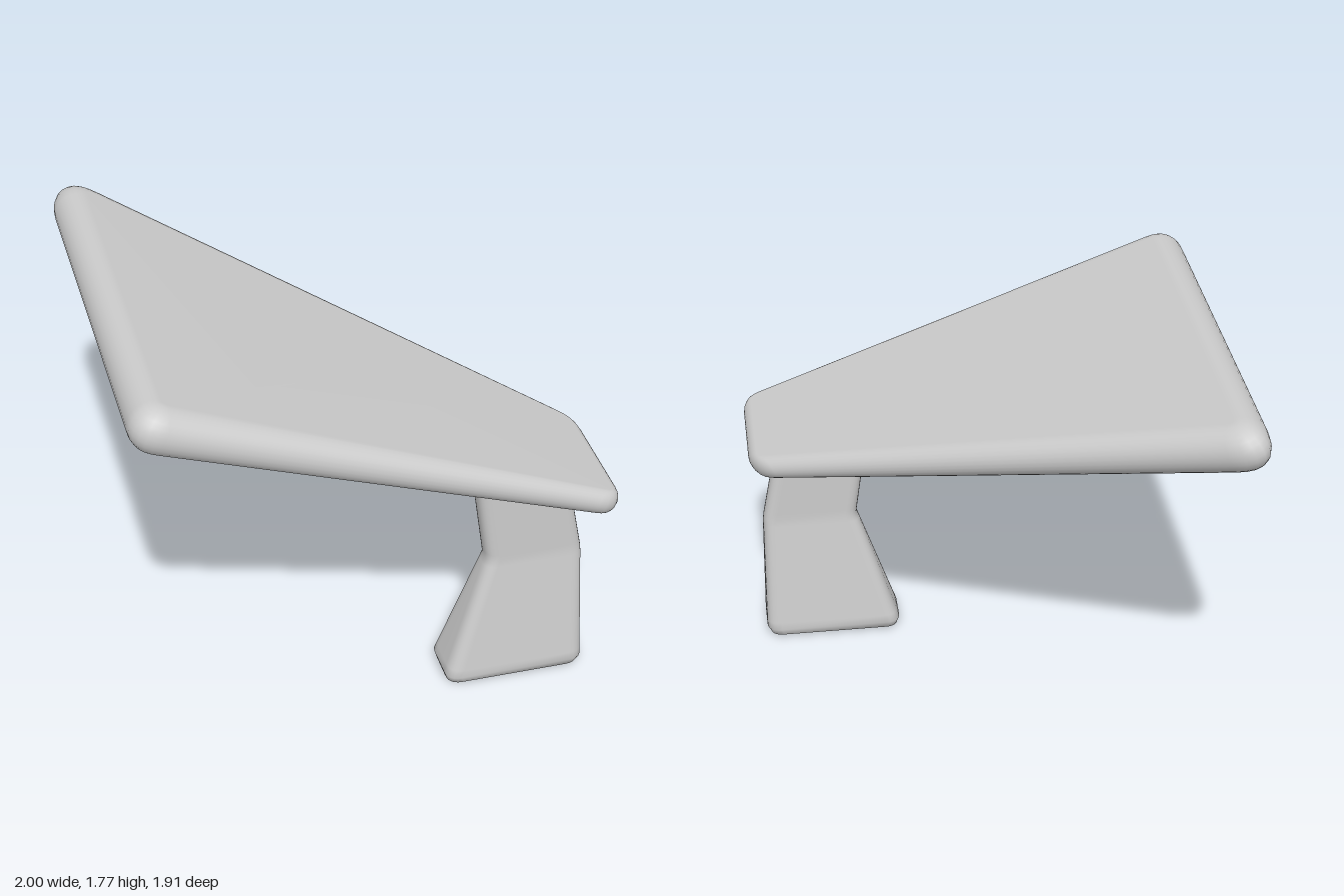
import * as THREE from 'three';

const material = new THREE.MeshStandardMaterial({ color: 0xcccccc });

// Skin a stack of rings (counter-clockwise from above, bottom to top) and cap both ends.
function loft(name, rings) {
  const n = rings[0].length, pos = [], idx = [];
  rings.forEach(r => r.forEach(p => pos.push(p.x, p.y, p.z)));
  for (let i = 0; i < rings.length - 1; i++) {
    for (let j = 0; j < n; j++) {
      const k = (j + 1) % n, a = i * n + j, b = i * n + k;
      idx.push(a, b, b + n, a, b + n, a + n);
    }
  }
  [0, rings.length - 1].forEach((row, top) => {
    const c = new THREE.Vector3();
    rings[row].forEach(p => c.addScaledVector(p, 1 / n));
    const ci = pos.length / 3;
    pos.push(c.x, c.y, c.z);
    for (let j = 0; j < n; j++) {
      const a = row * n + j, b = row * n + (j + 1) % n;
      if (top) idx.push(ci, a, b); else idx.push(ci, b, a);
    }
  });
  const g = new THREE.BufferGeometry();
  g.setAttribute('position', new THREE.Float32BufferAttribute(pos, 3));
  g.setIndex(idx);
  g.computeVertexNormals();
  const mesh = new THREE.Mesh(g, material);
  mesh.name = name;
  return mesh;
}

// Polygon with each corner replaced by a short curve; cuts are distances along the edges.
function roundCorners(pts, cuts, steps = 6) {
  const out = [];
  pts.forEach((p, i) => {
    const prev = pts[(i + pts.length - 1) % pts.length], next = pts[(i + 1) % pts.length];
    const toward = q => q.clone().sub(p).setLength(cuts[i]).add(p);
    out.push(...new THREE.QuadraticBezierCurve(toward(prev), p, toward(next)).getPoints(steps));
  });
  return out;
}

// Tapering tilted slab with half-round edges, built flat as (x, -z) then rotated.
function makePanel() {
  const corners = [[-1.08, -0.95], [1.035, -0.95], [1.035, -0.333], [-1.08, 1.037]]
    .map(c => new THREE.Vector2(...c));
  const cuts = [0.13, 0.12, 0.13, 0.22];
  const half = x => 0.08 - 0.0256 * x;
  const normal = (a, b) => new THREE.Vector2(a.y - b.y, b.x - a.x).normalize();
  const rings = [];
  const steps = 14;
  for (let s = 0; s <= steps; s++) {
    const a = (s / steps - 0.5) * Math.PI, t = 1 - Math.cos(a);
    const inset = corners.map((p, i) => {
      const n1 = normal(corners[(i + 3) % 4], p), n2 = normal(p, corners[(i + 1) % 4]);
      return p.clone().addScaledVector(n1.clone().add(n2), half(p.x) * t / (1 + n1.dot(n2)));
    });
    rings.push(roundCorners(inset, cuts.map(c => c * (1 - 0.8 * t)))
      .map(p => new THREE.Vector3(p.x, half(p.x) * Math.sin(a), -p.y)));
  }
  const panel = loft('panel', rings);
  panel.rotation.z = -0.344;
  panel.position.set(0.025, 1.34, 0);
  return panel;
}

// Bent leg: rounded sections flaring to the foot, top cut to sit inside the panel.
function makeLeg() {
  const sections = [ // y, x min, x max, half depth, corner cut
    [0, 0.385, 0.92, 0.095, 0.05],
    [0.012, 0.355, 0.945, 0.118, 0.06],
    [0.045, 0.345, 0.96, 0.13, 0.065],
    [0.08, 0.357, 0.96, 0.126, 0.065],
    [0.57, 0.515, 0.951, 0.064, 0.055],
    [0.6, 0.524, 0.948, 0.061, 0.055],
    [0.63, 0.52, 0.942, 0.061, 0.055],
    [0.95, 0.472, 0.878, 0.061, 0.055],
    [null, 0.443, 0.86, 0.061, 0.055],
  ];
  return loft('leg', sections.map(([y, x0, x1, d, c]) => {
    const rect = [[x0, -d], [x1, -d], [x1, d], [x0, d]].map(p => new THREE.Vector2(...p));
    return roundCorners(rect, [c, c, c, c]).map(p =>
      new THREE.Vector3(p.x, y ?? 1.34 - 0.359 * (p.x - 0.025), 0.61 - p.y));
  }));
}

export function createModel() {
  const model = new THREE.Group();
  model.name = 'tiltedPanelOnLeg';
  model.add(makePanel(), makeLeg());
  return model;
}
